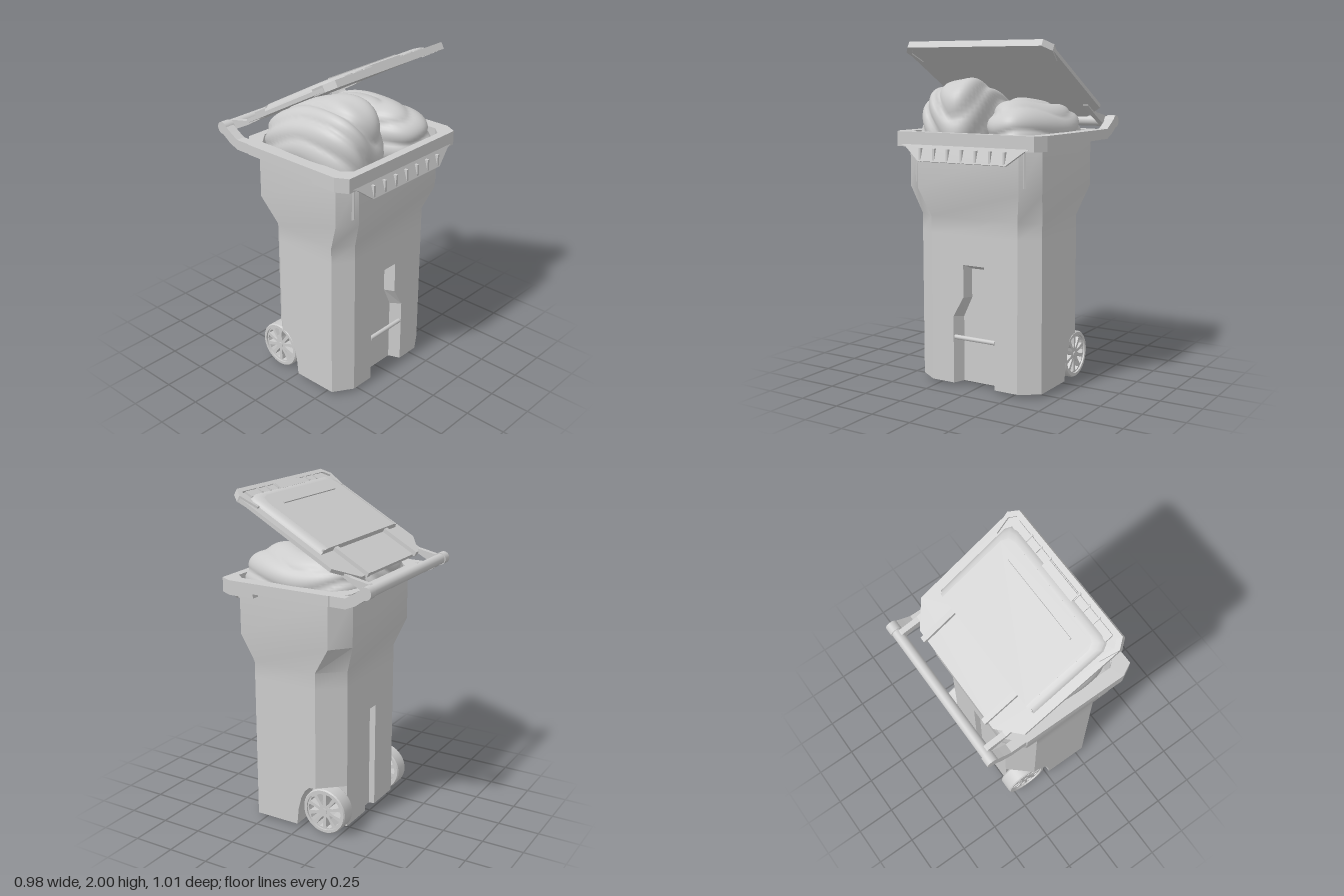
import * as THREE from 'three';
import { mergeVertices, toCreasedNormals } from 'three/addons/utils/BufferGeometryUtils.js';

const mat = new THREE.MeshStandardMaterial({ color: 0xcccccc, side: THREE.DoubleSide });

function add(parent, name, geo, x = 0, y = 0, z = 0) {
  const m = new THREE.Mesh(geo, mat);
  m.name = name;
  m.position.set(x, y, z);
  parent.add(m);
  return m;
}
const box = (w, h, d) => new THREE.BoxGeometry(w, h, d);
const shapeOf = pts => new THREE.Shape(pts.map(p => new THREE.Vector2(p[0], p[1])));
// half outline (+x side, front to back) -> full symmetric outline
const sym = half => half.concat(half.map(([x, z]) => [-x, z]).reverse());
const at = (pts, y) => pts.map(([x, z]) => [x, y, z]);

// skin between successive rings of 3D points
function loft(rings, closed = true, crease = 0.5) {
  const n = rings[0].length, idx = [];
  for (let r = 0; r < rings.length - 1; r++)
    for (let i = 0; i < (closed ? n : n - 1); i++) {
      const j = (i + 1) % n, a = r * n + i, b = r * n + j;
      idx.push(a, b, b + n, a, b + n, a + n);
    }
  const g = new THREE.BufferGeometry();
  g.setAttribute('position', new THREE.Float32BufferAttribute(rings.flat(2), 3));
  g.setIndex(idx);
  return toCreasedNormals(g, crease);
}
// horizontal slab from an [x, z] outline
function slab(pts, y0, y1, hole) {
  const flip = p => p.map(([x, z]) => [x, -z]);
  const s = shapeOf(flip(pts));
  if (hole) s.holes.push(shapeOf(flip(hole)));
  return new THREE.ExtrudeGeometry(s, { depth: y1 - y0, bevelEnabled: false }).rotateX(-Math.PI / 2).translate(0, y0, 0);
}
// upright plate from a [z, y] outline, between x0 and x1
function sidePlate(pts, x0, x1 = x0) {
  const s = shapeOf(pts.map(([z, y]) => [-z, y]));
  const g = x1 > x0 ? new THREE.ExtrudeGeometry(s, { depth: x1 - x0, bevelEnabled: false }) : new THREE.ShapeGeometry(s);
  return g.rotateY(Math.PI / 2).translate(x0, 0, 0);
}

const Y0 = 0.02, Y1 = 0.9, WELL = 0.285;
const LOWER = [[0.29, 0.375], [0.405, 0.3], [0.405, -0.11], [0.28, -0.25]];
const UPPER = [[0.335, 0.44], [0.44, 0.365], [0.44, -0.215], [0.33, -0.31]];
const INNER = [[0.36, 0.425], [0.41, 0.37], [0.41, -0.22], [0.32, -0.295]];

function wallWithRecess(parent, name, halfW, outer, inner, depth) {
  const full = h => h.concat(h.map(([x, y]) => [-x, y]).reverse());
  const o = full(outer), i = full(inner);
  const g = new THREE.Group();
  g.name = name;
  add(g, 'panel', new THREE.ShapeGeometry(shapeOf([...o, [-halfW, Y0], [-halfW, Y1], [halfW, Y1], [halfW, Y0]])));
  add(g, 'recessWalls', loft([o.map(p => [...p, 0]), i.map(p => [...p, -depth])], false, 0.1));
  add(g, 'recessBack', new THREE.ShapeGeometry(shapeOf(i)), 0, 0, -depth);
  parent.add(g);
  return g;
}

function makeWheel() {
  const wheel = new THREE.Group();
  wheel.name = 'wheel';
  const profile = [[0.117, -0.05], [0.134, -0.05], [0.14, -0.042], [0.14, 0.042], [0.134, 0.05], [0.117, 0.05], [0.117, -0.05]]
    .map(p => new THREE.Vector2(...p));
  add(wheel, 'tyre', toCreasedNormals(new THREE.LatheGeometry(profile, 40).rotateZ(-Math.PI / 2), 0.5));
  // disc with openings between the spokes
  const disc = new THREE.Shape().absarc(0, 0, 0.118, 0, Math.PI * 2);
  for (let k = 0; k < 10; k++) {
    const a = k * Math.PI / 5, P = (r, t) => [r * Math.cos(a + t), r * Math.sin(a + t)];
    disc.holes.push(shapeOf([P(0.035, 0.06), P(0.06, -0.17), P(0.106, -0.2), P(0.11, 0), P(0.106, 0.2), P(0.06, 0.17)]));
  }
  add(wheel, 'spokes', new THREE.ExtrudeGeometry(disc, { depth: 0.08, bevelEnabled: false, curveSegments: 20 })
    .translate(0, 0, -0.04).rotateY(Math.PI / 2));
  add(wheel, 'axle', new THREE.CylinderGeometry(0.016, 0.016, 0.11, 16).rotateZ(Math.PI / 2), -0.01);
  wheel.position.set(0.34, 0.14, -0.155);
  return wheel;
}

// everything that exists once per side, built for +x
function makeSide() {
  const side = new THREE.Group();
  const arch = [[0.02, Y0], [0.01, 0.12], [-0.01, 0.2], [-0.035, 0.25], [-0.065, 0.278], [-0.11, WELL]];
  add(side, 'sideWall', sidePlate([...arch, [-0.11, Y1], [0.3, Y1], [0.3, Y0]], 0.405));
  const [a, b, c, d] = LOWER;
  add(side, 'frontCorner', loft([at([a, b], Y0), at([a, b], Y1)], false));
  add(side, 'backCorner', loft([at([c, d], WELL), at([c, d], Y1)], false));
  const back = [-0.25, WELL];
  add(side, 'wheelWell', loft([[...arch.map(([z, y]) => [0.405, y, z]), [0.28, WELL, -0.25]],
    [...arch, back].map(([z, y]) => [0.28, y, z])], false));
  add(side, 'wellWall', sidePlate([...arch, back, [-0.25, Y0]], 0.28));
  side.add(makeWheel());
  add(side, 'handleArm', sidePlate([[-0.2, 1.43], [-0.35, 1.43], [-0.41, 1.455], [-0.49, 1.51], [-0.455, 1.555],
    [-0.4, 1.52], [-0.35, 1.49], [-0.2, 1.49]], 0.43, 0.485));
  add(side, 'handleKnob', new THREE.CylinderGeometry(0.036, 0.036, 0.055, 28).rotateZ(Math.PI / 2), 0.458, 1.53, -0.47);
  add(side, 'hingeArm', sidePlate([[-0.49, 1.54], [-0.455, 1.565], [-0.34, 1.588], [-0.22, 1.65], [-0.22, 1.63],
    [-0.33, 1.565], [-0.45, 1.505]], 0.387, 0.42));
  return side;
}

function makeLid() {
  const lid = new THREE.Group();
  lid.name = 'lid';
  add(lid, 'lidPlate', slab(sym([[0.44, 0.84], [0.48, 0.79], [0.48, 0.12], [0.345, 0]]), -0.012, 0.01));
  // raised centre with rounded front and sides
  const ring = (k, y) => at(sym([[0.37 - k, 0.775 - k], [0.41 - k, 0.76 - k], [0.43 - k, 0.72 - k], [0.43 - k, 0.23]]), y);
  add(lid, 'lidPanel', loft([ring(0, 0.005), ring(0.008, 0.024), ring(0.025, 0.037), ring(0.05, 0.043),
    ring(0.05, 0.043).map(([x, y]) => [x * 0.3, y, 0.5])], true, 0.7));
  add(lid, 'lidPanelTop', slab(sym([[0.32, 0.725], [0.36, 0.71], [0.38, 0.67], [0.38, 0.23]]), 0.03, 0.0432));
  add(lid, 'lidPanelStep', box(0.84, 0.03, 0.01), 0, 0.022, 0.236);
  // lip wrapping the front edge
  const lipOuter = [[0.44, 0.845], [0.482, 0.79], [0.455, 0.675]], lipInner = [[0.435, 0.675], [0.455, 0.775], [0.425, 0.815]];
  const half = [...lipOuter, ...lipInner];
  add(lid, 'frontLip', slab(sym(half), -0.018, 0.022));
  add(lid, 'frontShelf', box(0.8, 0.02, 0.05), 0, 0.012, 0.785);
  add(lid, 'grip', box(0.25, 0.034, 0.05), 0, 0.017, 0.78);
  add(lid, 'ridge', box(0.55, 0.012, 0.012), 0, 0.045, 0.633);
  for (const s of [-1, 1]) {
    add(lid, 'lidRib', box(0.034, 0.03, 0.25), s * 0.286, 0.018, 0.112);
    for (const x of [0.125, 0.205, 0.287]) add(lid, 'lipRib', box(0.01, 0.022, 0.05), s * x, 0.018, 0.795);
  }
  lid.position.set(0, 1.57, -0.365);
  lid.rotation.x = -29 * Math.PI / 180;
  return lid;
}

// stuffed bag: a boxy sphere, leaned and wrinkled with folded waves
function bagGeometry(rx, h, rz, slope, lean, seed) {
  let g = new THREE.SphereGeometry(1, 72, 52);
  g.deleteAttribute('uv');
  g.deleteAttribute('normal');
  g = mergeVertices(g, 1e-4);
  const p = g.attributes.position, v = new THREE.Vector3(), e = 2.7;
  for (let i = 0; i < p.count; i++) {
    v.fromBufferAttribute(p, i);
    const { x, y, z } = v;
    v.multiplyScalar(Math.pow(Math.abs(x) ** e + Math.abs(y) ** e + Math.abs(z) ** e, -1 / e));
    const flow = 7 * y + 3 * x * z + 2 * Math.sin(2.5 * x + seed) + 1.5 * Math.sin(3 * z - seed);
    const fold = 1 - Math.abs(Math.sin(flow)) ** 0.8;
    v.multiplyScalar(1 - 0.07 * fold + 0.03 * Math.sin(4 * x - 3 * z + seed));
    p.setXYZ(i, v.x * rx, v.y * (h + slope * v.z + lean * v.x), v.z * rz);
  }
  g.computeVertexNormals();
  return g;
}

export function createModel() {
  const model = new THREE.Group();
  model.name = 'wheeledBin';

  // lower body: front with bottle-shaped recess, back with a slot
  const bottle = [[0.14, Y0], [0.14, 0.42], [0.07, 0.54], [0.07, 0.73]];
  const bottleIn = [[0.112, Y0], [0.112, 0.41], [0.055, 0.53], [0.055, 0.7]];
  wallWithRecess(model, 'frontWall', 0.29, bottle, bottleIn, 0.07).position.z = 0.375;
  const back = wallWithRecess(model, 'backWall', 0.28, [[0.058, Y0], [0.058, 0.68]], [[0.052, Y0], [0.052, 0.67]], 0.035);
  back.position.z = -0.25;
  back.rotation.y = Math.PI;
  add(model, 'gripBar', new THREE.CylinderGeometry(0.013, 0.013, 0.272, 14).rotateZ(Math.PI / 2), 0, 0.295, 0.362);
  add(model, 'base', slab(sym([[0.112, 0.305], [0.14, 0.375], [0.29, 0.375], [0.405, 0.3], [0.405, 0.02], [0.28, 0.02],
    [0.28, -0.25], [0.058, -0.25], [0.052, -0.215]]), Y0, Y0 + 0.005));

  // flared upper body and its inside
  const lo = sym(LOWER), up = sym(UPPER);
  add(model, 'upperBody', loft([at(lo, Y1), at(lo, 1), at(up, 1.165), at(up, 1.44)]));
  add(model, 'innerWall', loft([at(sym(INNER), 1.49), at(sym(INNER), 1.2)]));

  // rim with deeper front part
  add(model, 'rim', slab(sym([[0.45, 0.475], [0.49, 0.4], [0.49, -0.25], [0.4, -0.34]]), 1.43, 1.49, sym(INNER)));
  add(model, 'rimFront', slab(sym([[0.45, 0.475], [0.49, 0.4], [0.49, 0.24], [0.43, 0.24], [0.43, 0.365], [0.335, 0.43]]), 1.405, 1.431));

  // sloping apron under the front rim, with ribs
  const apron = new THREE.ExtrudeGeometry(shapeOf([[-0.44, 0], [-0.39, -0.02], [-0.29, -0.1], [0.29, -0.1], [0.39, -0.02], [0.44, 0]]),
    { depth: 0.012, bevelEnabled: false });
  add(model, 'apron', apron, 0, 1.42, 0.462).rotation.x = -0.3;
  for (let i = -3; i <= 3; i++) add(model, 'apronRib', box(0.014, 0.075, 0.024), i * 0.0925, 1.364, 0.489);

  // handle
  add(model, 'handleBar', new THREE.CylinderGeometry(0.031, 0.031, 0.9, 28).rotateZ(Math.PI / 2), 0, 1.53, -0.47);

  for (const s of [1, -1]) {
    const side = makeSide();
    side.name = s > 0 ? 'leftSide' : 'rightSide';
    side.scale.x = s;
    model.add(side);
  }
  model.add(makeLid());

  // contents
  add(model, 'tallBag', bagGeometry(0.215, 0.3, 0.36, 0.09, 0.03, 1), -0.208, 1.46, 0.06);
  add(model, 'shortBag', bagGeometry(0.2, 0.215, 0.365, 0, -0.03, 3.4), 0.215, 1.455, 0.065);
  return model;
}
